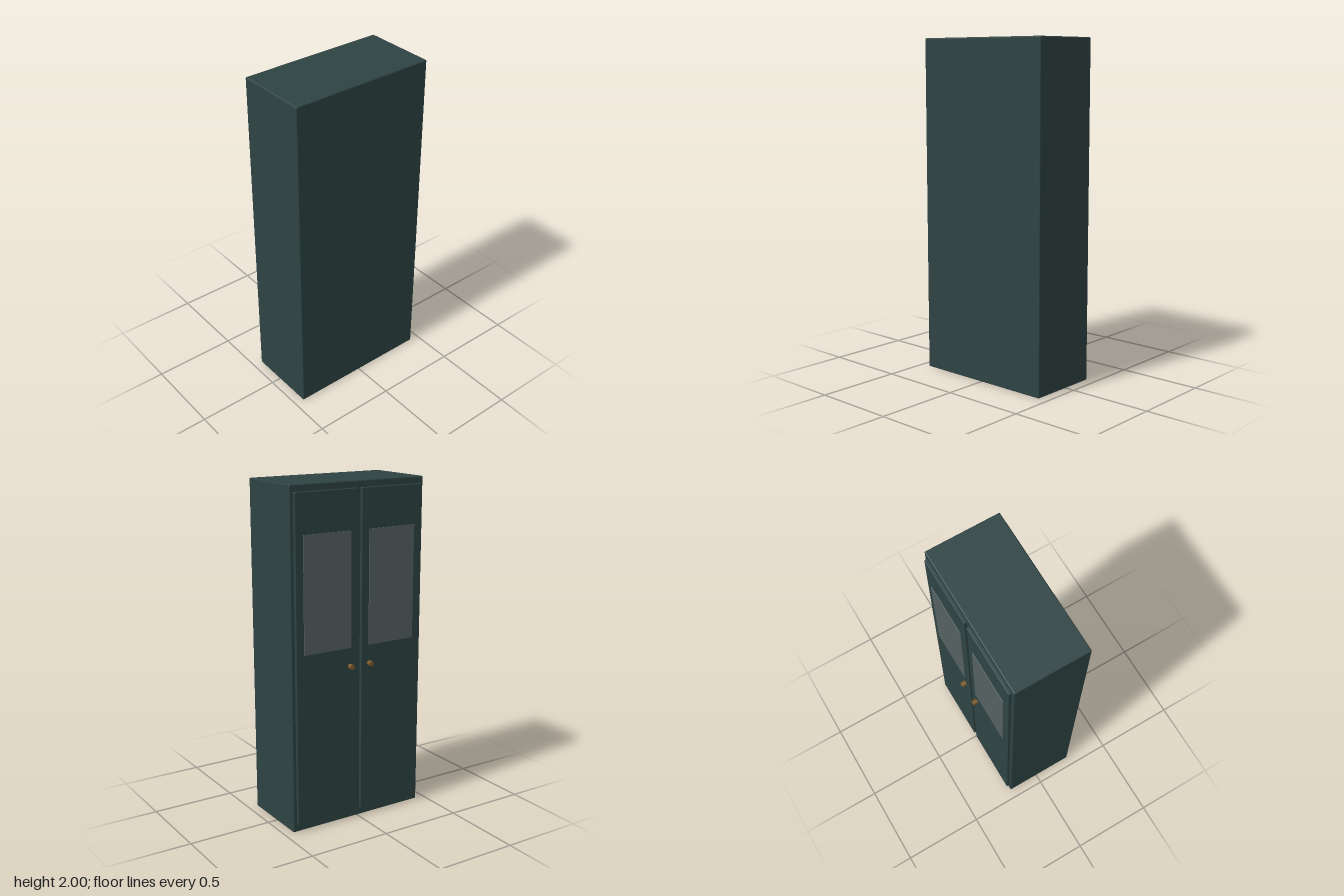
import * as THREE from 'three';
import { RoundedBoxGeometry } from 'three/addons/geometries/RoundedBoxGeometry.js';

function material(name, color) {
  const m = new THREE.MeshStandardMaterial({ color });
  m.name = name;
  return m;
}

export function createModel() {
  const paint = material('dark green paint', 0x2f4343);
  const glass = material('grey glass', 0x556161);
  const bronze = material('bronze', 0x7c5a2a);
  const model = new THREE.Group();
  model.name = 'cabinet';

  const add = (parent, name, geometry, mat, x, y, z) => {
    const mesh = new THREE.Mesh(geometry, mat);
    mesh.name = name;
    mesh.position.set(x, y, z);
    parent.add(mesh);
    return mesh;
  };

  // Carcass with softly rounded edges
  add(model, 'carcass', new RoundedBoxGeometry(0.886, 2, 0.443, 2, 0.007), paint, 0, 1, 0.0215);

  // Pair of mirrored doors, each with a window and a knob, on the -z side
  for (const [side, label] of [[1, 'left'], [-1, 'right']]) {
    const door = new THREE.Group();
    door.name = label + 'Door';
    model.add(door);
    add(door, label + 'DoorPanel', new RoundedBoxGeometry(0.408, 1.91, 0.025, 2, 0.004),
      paint, side * 0.216, 1.005, -0.2045);
    add(door, label + 'Window', new THREE.BoxGeometry(0.31, 0.67, 0.009),
      glass, side * 0.216, 1.395, -0.2175);
    const knob = add(door, label + 'Knob', new THREE.CylinderGeometry(0.015, 0.015, 0.032, 16),
      bronze, side * 0.066, 0.95, -0.231);
    knob.rotation.x = Math.PI / 2;
  }
  return model;
}
